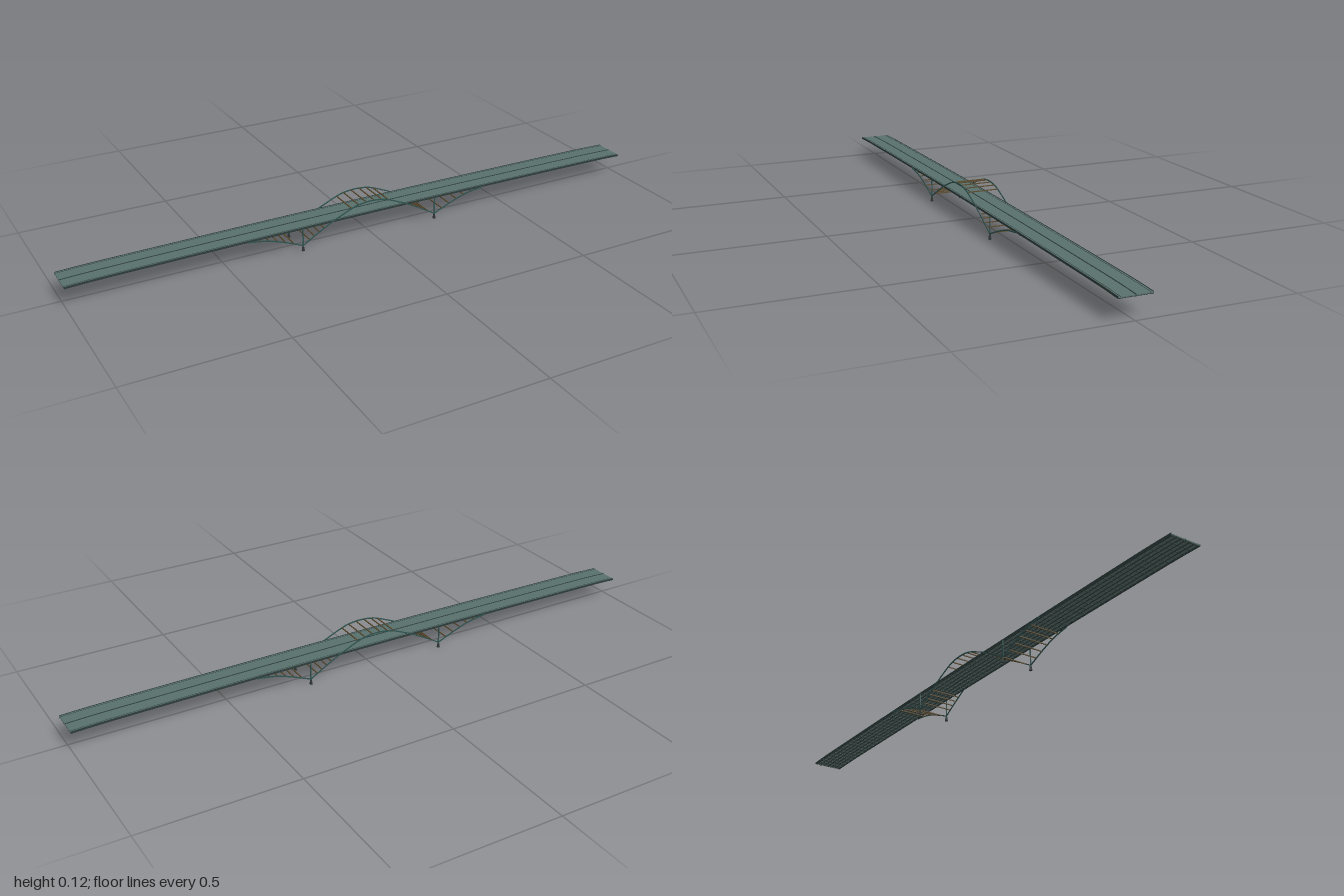
import * as THREE from 'three';

const CX = -0.008;      // middle of the arch span
const PIER = 0.24;      // pier distance from the arch middle
const RIB_Z = 0.0525;   // arch rib planes

const curve = pts => new THREE.SplineCurve(pts.map(p => new THREE.Vector2(...p)));

// Cambered road line, and the rib lines as distance from mid-span and height
const road = curve([[-1, 0.07], [-0.9, 0.073], [-0.7, 0.075], [-0.35, 0.0775], [0, 0.0785],
  [0.35, 0.0775], [0.7, 0.075], [0.9, 0.073], [1, 0.07]]).getPoints(64);
const mainHalf = [[0.042, 0.1135], [0.07, 0.105], [0.1, 0.0925], [0.132, 0.078], [0.19, 0.047], [PIER, 0.018]];
const mainArch = curve([...mainHalf.map(([d, y]) => [-d, y]).reverse(), [0, 0.1175], ...mainHalf]).getPoints(64);
const sideArch = curve([[PIER, 0.018], [0.3, 0.043], [0.36, 0.063], [0.425, 0.0735]]).getPoints(24);

// Height of a sampled line at x
function heightAt(line, x) {
  for (let i = 1; i < line.length; i++) {
    const a = line[i - 1], b = line[i];
    if (x <= b.x) return a.y + (b.y - a.y) * (x - a.x) / (b.x - a.x);
  }
  return line[line.length - 1].y;
}

export function createModel() {
  const model = new THREE.Group();
  model.name = 'archBridge';
  const mat = color => new THREE.MeshStandardMaterial({ color });
  const asphalt = mat(0x58706c), steel = mat(0x2c3c39), rib = mat(0x2f5350), brace = mat(0x5a4a2c), stone = mat(0x303836);

  const add = (name, geometry, material, x = 0, y = 0, z = 0, parent = model) => {
    const mesh = new THREE.Mesh(geometry, material);
    mesh.name = name;
    mesh.position.set(x, y, z);
    parent.add(mesh);
    return mesh;
  };
  const group = name => {
    const g = new THREE.Group();
    g.name = name;
    model.add(g);
    return g;
  };

  // Strip following a line, from "low" to "high" above it and "width" across z
  const strip = (line, low, high, width) => {
    const shape = new THREE.Shape([
      ...line.map(p => new THREE.Vector2(p.x, p.y + low)),
      ...[...line].reverse().map(p => new THREE.Vector2(p.x, p.y + high))]);
    return new THREE.ExtrudeGeometry(shape, { depth: width, bevelEnabled: false }).translate(0, 0, -width / 2);
  };

  // Road deck with central reservation and edge kerbs
  add('roadDeck', strip(road, -0.003, 0, 0.102), asphalt);
  add('centralReservation', strip(road, -0.001, 0.0012, 0.003), steel);
  for (const s of [-1, 1]) {
    add('edgeKerb', strip(road, -0.005, 0.0015, 0.0015), steel, 0, 0, s * 0.051);
    add('laneKerb', strip(road, -0.001, 0.0007, 0.001), steel, 0, 0, s * 0.044);
  }

  // Girder grid under the deck
  for (let i = -3; i <= 3; i++) add('girder', strip(road, -0.0055, -0.002, 0.002), steel, 0, 0, i * 0.0155);
  const floorBeams = group('floorBeams');
  const floorBeam = new THREE.BoxGeometry(0.002, 0.003, 0.102);
  for (let i = 0; i <= 72; i++) {
    const x = -0.997 + i * 1.994 / 72;
    add('floorBeam', floorBeam, steel, x, heightAt(road, x) - 0.004, 0, floorBeams);
  }

  // Arch ribs: centre span and the two half arches
  for (const s of [-1, 1]) {
    add('mainArchRib', strip(mainArch, -0.002, 0.002, 0.0025), rib, CX, 0, s * RIB_Z);
    for (const e of [-1, 1]) {
      const line = sideArch.map(p => new THREE.Vector2(p.x * e, p.y));
      add('sideArchRib', strip(line, -0.002, 0.002, 0.0025), rib, CX, 0, s * RIB_Z);
    }
  }

  // Cross struts joining the ribs, leaving the road clear
  const struts = group('crossStruts');
  const strut = new THREE.BoxGeometry(0.003, 0.003, 2 * RIB_Z);
  for (const e of [-1, 1]) {
    for (const d of [0.0145, 0.042, 0.067, 0.165, 0.182, 0.199, 0.216])
      add('mainStrut', strut, brace, CX + e * d, heightAt(mainArch, d), 0, struts);
    for (const d of [0.27, 0.298, 0.326, 0.354, 0.382])
      add('sideStrut', strut, brace, CX + e * d, heightAt(sideArch, d), 0, struts);
  }

  // Piers: tapered stone foot and a slim column up to the deck
  const foot = new THREE.CylinderGeometry(0.0028, 0.0055, 0.016, 4, 1).rotateY(Math.PI / 4);
  const column = new THREE.BoxGeometry(0.004, 0.06, 0.0025);
  for (const e of [-1, 1]) for (const s of [-1, 1]) {
    add('pierFoot', foot, stone, CX + e * PIER, 0.008, s * RIB_Z);
    add('pierColumn', column, rib, CX + e * PIER, 0.045, s * RIB_Z);
  }
  return model;
}
